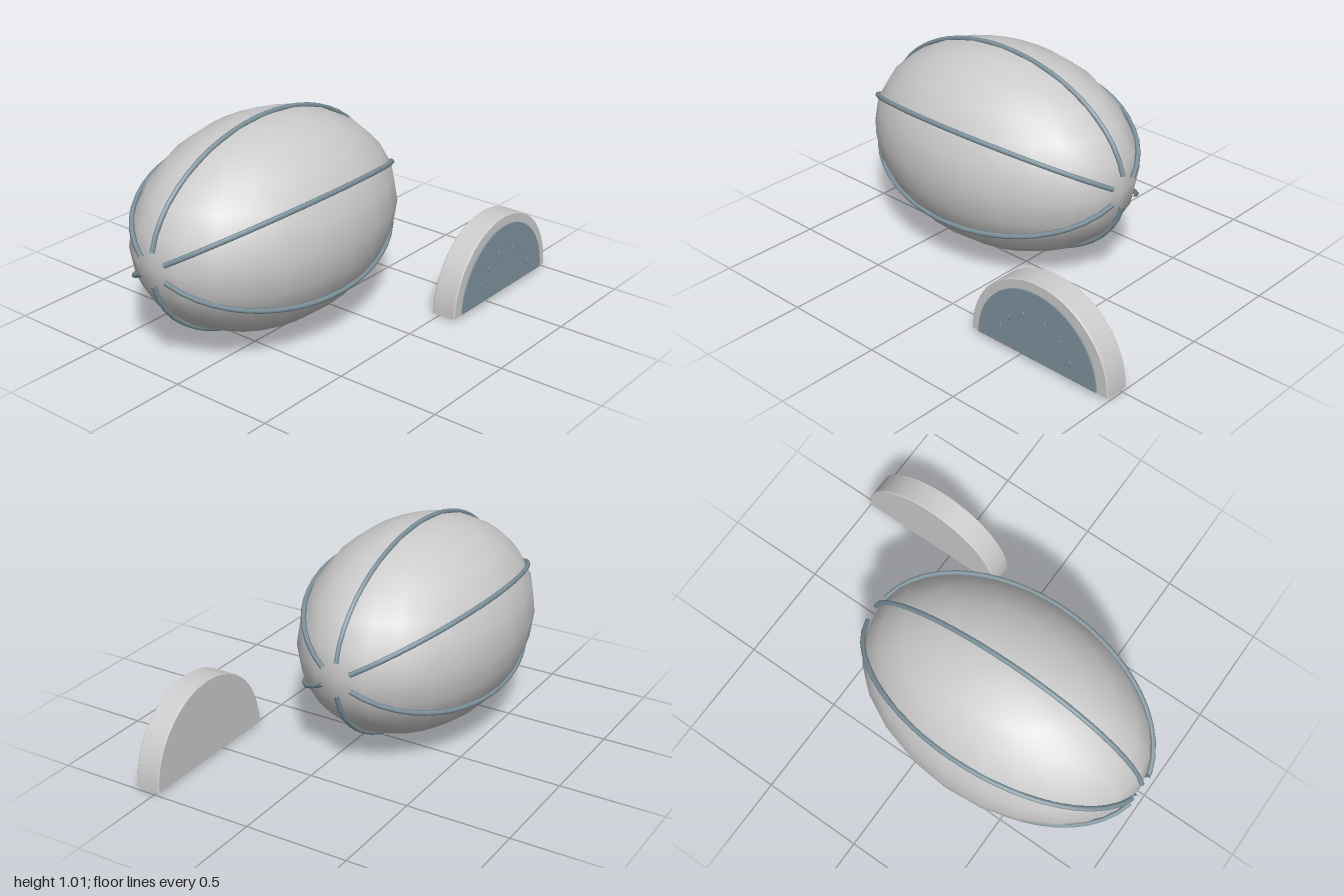
import * as THREE from 'three';
import { toCreasedNormals } from 'three/addons/utils/BufferGeometryUtils.js';

export function createModel() {
  const model = new THREE.Group();
  const grey = new THREE.MeshStandardMaterial({ color: 0xcccccc });
  const tinted = new THREE.MeshStandardMaterial({ color: 0x7f939d });

  const add = (parent, name, geometry, material, x = 0, y = 0, z = 0) => {
    const mesh = new THREE.Mesh(geometry, material);
    mesh.name = name;
    mesh.position.set(x, y, z);
    parent.add(mesh);
    return mesh;
  };

  // Whole melon: a stretched sphere lying along x
  const melon = new THREE.Group();
  melon.name = 'melon';
  melon.position.set(-0.26, 0.508, -0.124);
  model.add(melon);
  add(melon, 'melonBody', new THREE.SphereGeometry(1, 24, 12), grey).scale.set(0.735, 0.493, 0.493);

  // Six rind stripes, each an arc stopping short of both tips
  const points = [];
  for (let i = 0; i <= 16; i++) {
    const t = 0.16 + (Math.PI - 0.32) * i / 16;
    points.push(new THREE.Vector3(-0.744 * Math.cos(t), 0.496 * Math.sin(t), 0));
  }
  const stripe = new THREE.TubeGeometry(new THREE.CatmullRomCurve3(points), 24, 0.012, 6);
  for (let i = 0; i < 6; i++) {
    add(melon, 'stripe', stripe, tinted).rotation.x = i * Math.PI / 3;
  }

  // Cut slice: half-round rind with a thin flesh face and seeds
  const slice = new THREE.Group();
  slice.name = 'slice';
  slice.position.set(0.61, 0, 0);
  model.add(slice);

  const halfDisc = (radius, depth, bevel) => {
    const shape = new THREE.Shape();
    shape.absarc(0, 0, radius, 0, Math.PI, false);
    shape.closePath();
    const geometry = new THREE.ExtrudeGeometry(shape, {
      depth, curveSegments: 24, bevelEnabled: bevel > 0,
      bevelThickness: bevel, bevelSize: bevel, bevelSegments: 1,
    });
    return toCreasedNormals(geometry, 0.5);
  };
  add(slice, 'sliceRind', halfDisc(0.385, 0.112, 0.005), grey, 0, 0.019, 0.479);
  add(slice, 'sliceFlesh', halfDisc(0.337, 0.007, 0), tinted, -0.004, 0.027, 0.601);

  // Seeds in an arc across the flesh
  const seed = new THREE.SphereGeometry(1, 8, 6);
  const spots = [[-0.2, 0.121], [-0.147, 0.193], [-0.066, 0.24], [0.056, 0.236], [0.14, 0.193], [0.198, 0.112]];
  for (const [x, y] of spots) {
    add(slice, 'seed', seed, tinted, x, y, 0.616).scale.set(0.007, 0.015, 0.004);
  }

  return model;
}
